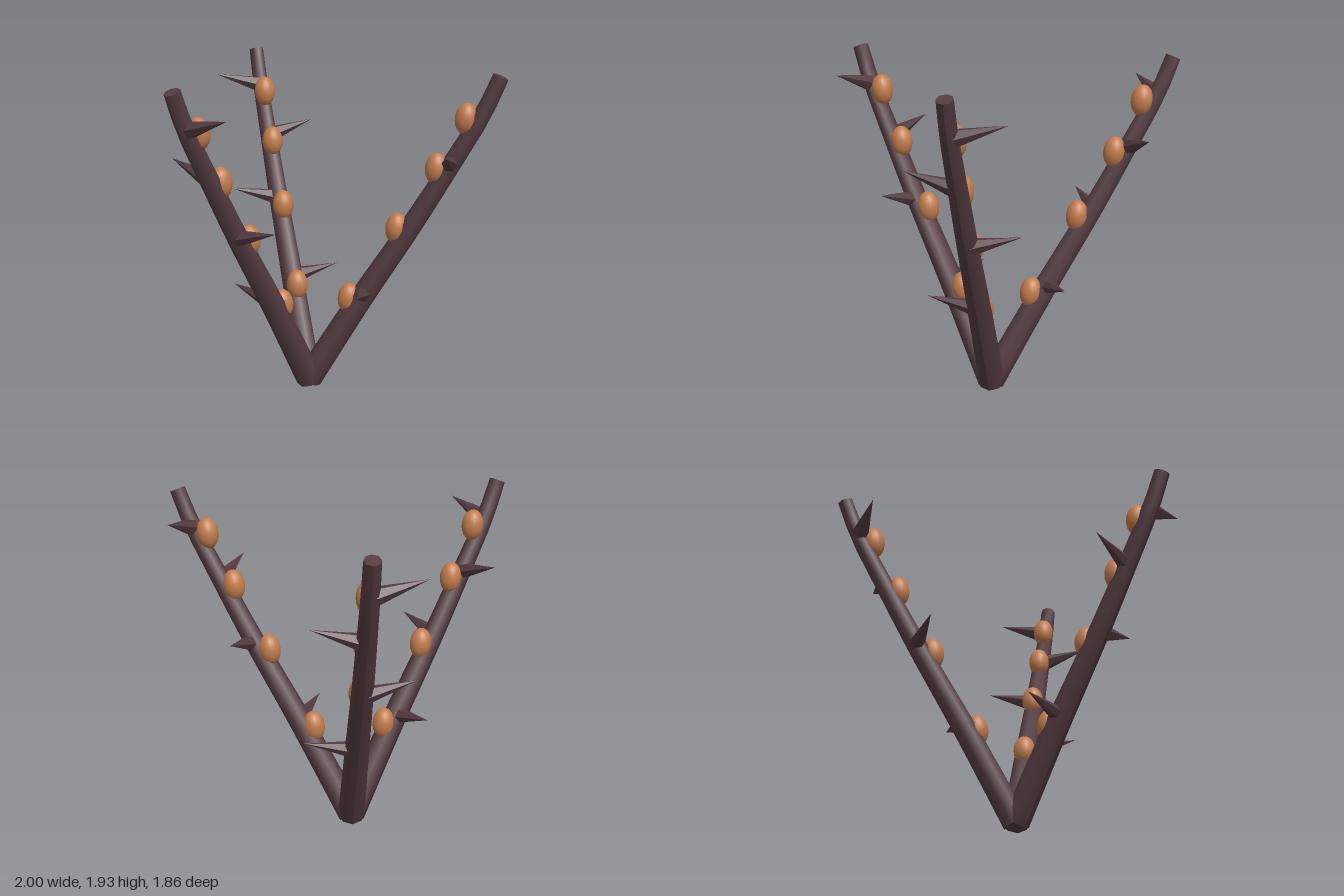
import * as THREE from 'three';

export function createModel() {
  const model = new THREE.Group();
  model.name = 'thornyBranches';

  const bark = new THREE.MeshStandardMaterial({ color: 0x533b41 });
  bark.name = 'bark';
  const thornBark = new THREE.MeshStandardMaterial({ color: 0x533b41, flatShading: true });
  thornBark.name = 'thorn bark';
  const amber = new THREE.MeshStandardMaterial({ color: 0xc27c4c });
  amber.name = 'amber';

  const V = (x, y, z) => new THREE.Vector3(x, y, z);
  const UP = V(0, 1, 0);

  // Centre line of one branch, leaning outward along +z
  const path = new THREE.CatmullRomCurve3([
    V(0, 0.035, 0), V(-0.008, 0.57, 0.32), V(-0.016, 1.03, 0.61),
    V(-0.023, 1.42, 0.84), V(-0.028, 1.7, 1.0), V(-0.03, 1.91, 1.09),
  ]);

  // Tapered stem: a cylinder bent along the centre line
  const stemGeo = new THREE.CylinderGeometry(0.046, 0.08, 1, 8, 14);
  const pos = stemGeo.attributes.position;
  const v = V(0, 0, 0);
  for (let i = 0; i < pos.count; i++) {
    v.fromBufferAttribute(pos, i);
    const t = THREE.MathUtils.clamp(v.y + 0.5, 0, 1);
    const tangent = path.getTangentAt(t);
    const normal = V(1, 0, 0).cross(tangent).normalize();
    const side = tangent.clone().cross(normal);
    const p = path.getPointAt(t).addScaledVector(side, v.x).addScaledVector(normal, v.z);
    pos.setXYZ(i, p.x, p.y, p.z);
  }
  stemGeo.computeVertexNormals();

  // Thorn with its base at the origin
  const thornGeo = new THREE.ConeGeometry(0.05, 1, 6).translate(0, 0.5, 0);
  const budGeo = new THREE.SphereGeometry(1, 20, 14);

  // Thorns: height, outward distance, base x, tip x, tip height
  const thorns = [
    [0.595, 0.33, -0.03, -0.305, 0.648],
    [1.035, 0.625, 0.005, 0.28, 1.105],
    [1.4, 0.82, -0.04, -0.315, 1.482],
    [1.7, 0.995, 0, 0.27, 1.775],
  ];
  // Buds: x, height, outward distance
  const buds = [
    [-0.008, 0.56, 0.238], [-0.014, 1.003, 0.517],
    [-0.02, 1.37, 0.74], [-0.024, 1.665, 0.903],
  ];

  function makeBranch(name) {
    const branch = new THREE.Group();
    branch.name = name;
    const stem = new THREE.Mesh(stemGeo, bark);
    stem.name = 'stem';
    branch.add(stem);

    for (const [y, z, x0, x1, y1] of thorns) {
      const dir = V(x1 - x0, y1 - y, 0);
      const thorn = new THREE.Mesh(thornGeo, thornBark);
      thorn.name = 'thorn';
      thorn.position.set(x0, y, z);
      thorn.scale.y = dir.length();
      thorn.quaternion.setFromUnitVectors(UP, dir.normalize());
      branch.add(thorn);
    }
    for (const [x, y, z] of buds) {
      const bud = new THREE.Mesh(budGeo, amber);
      bud.name = 'bud';
      bud.position.set(x, y, z);
      bud.scale.set(0.064, 0.092, 0.064);
      bud.rotation.x = 0.12;
      branch.add(bud);
    }
    return branch;
  }

  // Three branches spread evenly around a shared foot
  ['frontBranch', 'leftBranch', 'rightBranch'].forEach((name, i) => {
    const branch = makeBranch(name);
    branch.position.z = -0.2;
    branch.rotation.y = (i * Math.PI * 2) / 3;
    model.add(branch);
  });

  return model;
}
